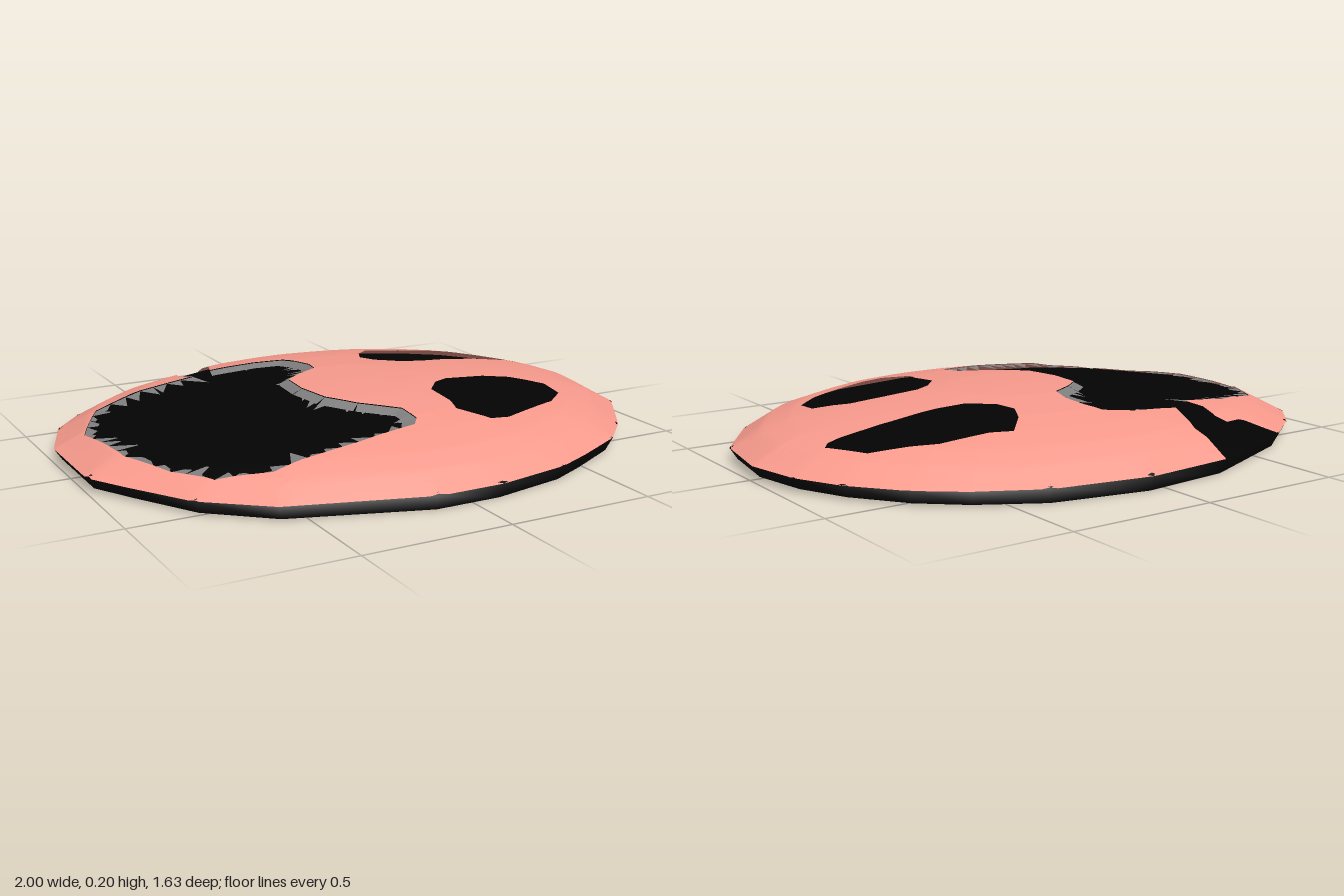
import * as THREE from 'three';
import { mergeVertices } from 'three/addons/utils/BufferGeometryUtils.js';

// Plan outline of the dome as [x, z], from one side of the crack round to the other
const RIM = [[-.26, -.79], [.06, -.82], [.4, -.76], [.61, -.65], [.75, -.54], [.88, -.38], [.96, -.22], [1, -.02],
  [.96, .24], [.8, .48], [.68, .6], [.49, .7], [.36, .76], [.1, .81], [-.13, .81], [-.59, .67], [-.79, .51],
  [-.92, .3], [-1, .16], [-1, -.17], [-.92, -.38], [-.81, -.51], [-.65, -.63]];
const CRACK_LEFT = [[-.5, -.59], [-.43, -.61], [-.41, -.57], [-.43, -.49]];
const MOUTH = [[-.4, -.43], [-.61, -.41], [-.8, -.33], [-.85, -.24], [-.91, -.12], [-.89, .05], [-.88, .17],
  [-.8, .35], [-.71, .48], [-.55, .55], [-.24, .52], [-.02, .48], [.01, .44], [.01, .35], [-.1, .25], [-.17, .15],
  [-.19, .02], [-.18, -.1], [-.12, -.15], [-.03, -.2], [-.01, -.28], [-.02, -.37], [-.04, -.44], [-.14, -.48],
  [-.31, -.49]];
const CRACK_RIGHT = [[-.25, -.65]];
const EYES = [
  [[.33, -.47], [.4, -.44], [.57, -.42], [.76, -.32], [.83, -.18], [.81, -.16], [.59, -.16], [.41, -.15],
    [.31, -.16], [.23, -.23], [.21, -.3], [.25, -.38]],
  [[.32, .12], [.47, .12], [.57, .14], [.67, .22], [.66, .32], [.57, .4], [.46, .45], [.32, .51], [.25, .51],
    [.18, .41], [.2, .34], [.2, .22], [.26, .15]]
];
// Heights by share of the radius
const SHELL = [[0, .2], [.25, .196], [.5, .178], [.65, .16], [.8, .135], [.9, .105], [1, .05]];
const LINING = [[0, .135], [.5, .13], [.8, .116], [.9, .095], [1, .05]];

function shellProfile(s) {
  for (let i = 1; i < SHELL.length; i++) {
    const [a, ya] = SHELL[i - 1], [b, yb] = SHELL[i];
    if (s <= b) return ya + (yb - ya) * (s - a) / (b - a);
  }
  return .05;
}

// Share of the radius: round near the middle, following the faceted rim outside
function radiusShare(x, z) {
  let poly = 0;
  RIM.forEach(([ax, az], i) => {
    const [bx, bz] = RIM[(i + 1) % RIM.length];
    const nx = bz - az, nz = ax - bx;
    poly = Math.max(poly, (nx * x + nz * z) / (nx * ax + nz * az));
  });
  poly = Math.min(poly, 1);
  return THREE.MathUtils.lerp(Math.hypot(x, z / .82), poly, poly ** 4);
}
const shellHeight = (x, z) => shellProfile(radiusShare(x, z));

function geometryFrom(positions) {
  const g = new THREE.BufferGeometry();
  g.setAttribute('position', new THREE.Float32BufferAttribute(positions, 3));
  return g;
}

// Thin pink dome: flat shape with openings, subdivided and then raised
function shellGeometry() {
  const toPoints = list => list.map(([x, z]) => new THREE.Vector2(x, -z));
  const shape = new THREE.Shape(toPoints([...RIM, ...CRACK_LEFT, ...MOUTH, ...CRACK_RIGHT]));
  shape.holes = EYES.map(eye => new THREE.Path(toPoints(eye)));
  const flat = new THREE.ShapeGeometry(shape).toNonIndexed().attributes.position;
  const out = [];
  const mid = (a, b) => [(a[0] + b[0]) / 2, (a[1] + b[1]) / 2];
  const split = (a, b, c, level) => {
    if (level === 0) {
      for (const [x, z] of [a, b, c]) out.push(x, shellHeight(x, z), z);
      return;
    }
    const ab = mid(a, b), bc = mid(b, c), ca = mid(c, a);
    split(a, ab, ca, level - 1);
    split(ab, b, bc, level - 1);
    split(ca, bc, c, level - 1);
    split(ab, bc, ca, level - 1);
  };
  const corner = i => [flat.getX(i), -flat.getY(i)];
  for (let i = 0; i < flat.count; i += 3) split(corner(i), corner(i + 1), corner(i + 2), 4);
  const g = mergeVertices(geometryFrom(out), 1e-5);
  g.computeVertexNormals();
  return g;
}

// Thin black lining under the dome, ending in a skirt and open below
function liningGeometry() {
  const out = [];
  const rings = LINING.map(([s, y]) => RIM.map(([x, z]) => [x * s, y, z * s]));
  rings.push(RIM.map(([x, z]) => [x * .975, .012 * x * x, z * .975]));
  for (let r = 0; r < rings.length - 1; r++) {
    for (let i = 0; i < RIM.length; i++) {
      const j = (i + 1) % RIM.length;
      const a = rings[r][i], b = rings[r][j], c = rings[r + 1][i], d = rings[r + 1][j];
      if (r > 0) out.push(...a, ...b, ...c);
      out.push(...b, ...d, ...c);
    }
  }
  const g = mergeVertices(geometryFrom(out));
  g.computeVertexNormals();
  return g;
}

// Jagged grey splinters continuing the dome inward from the lip of the mouth
function splinterGeometry() {
  let seed = 7;
  const random = () => (seed = (seed * 16807) % 2147483647) / 2147483647;
  const out = [];
  const lip = ([x, z]) => [x, shellHeight(x, z) - .003, z];
  const low = ([x, z]) => [x, shellHeight(x, z) - .018, z];
  for (let i = 0; i < MOUTH.length - 1; i++) {
    const [ax, az] = MOUTH[i], [bx, bz] = MOUTH[i + 1];
    const length = Math.hypot(bx - ax, bz - az);
    const nx = (bz - az) / length, nz = (ax - bx) / length;
    const wide = i >= 11;
    const n = Math.max(1, Math.round(length / .06));
    for (let k = 0; k < n; k++) {
      const at = (t, d) => [ax + (bx - ax) * t + nx * d, az + (bz - az) * t + nz * d];
      const p = at(k / n, 0), q = at((k + 1) / n, 0);
      const tip = at((k - .3 + 1.6 * random()) / n, .03 + random() * .06);
      out.push(...lip(p), ...lip(q), ...low(tip));
      // The inner lip carries a continuous band behind the points
      if (wide) {
        const e = at(k / n, .035), f = at((k + 1) / n, .035);
        out.push(...lip(p), ...lip(q), ...low(f), ...lip(p), ...low(f), ...low(e));
      }
    }
  }
  const g = geometryFrom(out);
  g.computeVertexNormals();
  return g;
}

export function createModel() {
  const group = new THREE.Group();
  group.name = 'mask';
  const add = (name, geometry, color, flatShading = false) => {
    const material = new THREE.MeshStandardMaterial({ color, flatShading, side: THREE.DoubleSide });
    const mesh = new THREE.Mesh(geometry, material);
    mesh.name = name;
    group.add(mesh);
  };
  add('shell', shellGeometry(), 0xf99b8d);
  add('lining', liningGeometry(), 0x030303);
  add('mouthSplinters', splinterGeometry(), 0x808080, true);
  return group;
}
